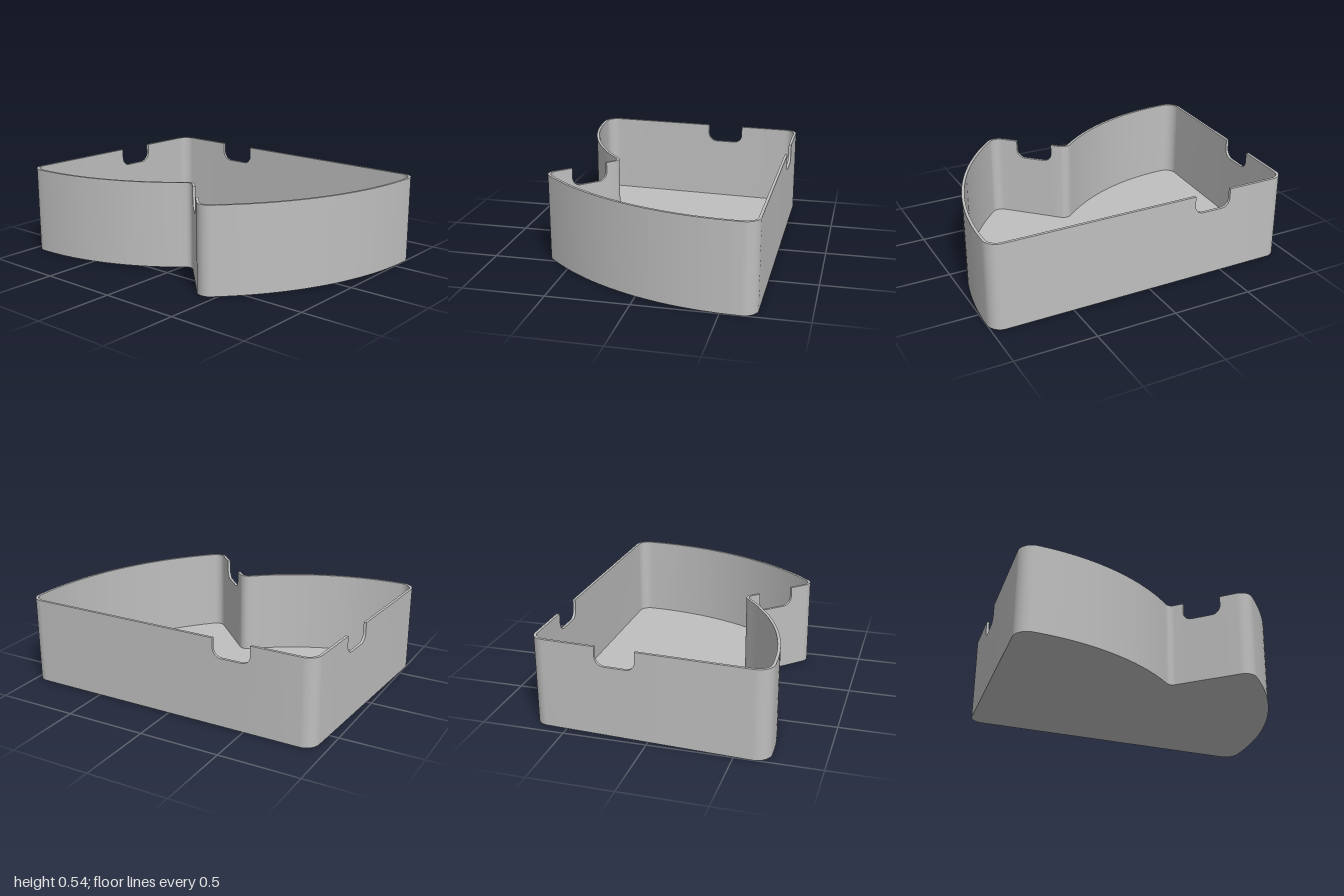
import * as THREE from 'three';
import { toCreasedNormals } from 'three/addons/utils/BufferGeometryUtils.js';

const HEIGHT = 0.54, WALL = 0.017, FLOOR = 0.02;
const NOTCH = { half: 0.12, depth: 0.115, radius: 0.055 };
// notch centres in plan (x, z): back wall, right wall, diagonal front wall
const NOTCH_CENTRES = [[-0.42, -0.705], [-0.956, -0.19], [0.202, 0.479]].map(p => new THREE.Vector2(...p));

// plan outline, drawn as (x, z)
function outlinePoints() {
  const p = new THREE.Path();
  p.moveTo(-0.85, -0.705);
  p.absarc(0.915, -0.62, 0.085, -Math.PI / 2, 0);                    // back corner
  p.absarc(1 - 1.763, -0.62, 1.763, 0, 0.796);                       // long curved side
  p.absarc(0.4175, 0.5865, 0.075, 0.796, Math.PI * 0.75);            // front tip
  p.absarc(0.048, 0.38, 0.04, -Math.PI / 4, 0.852 - Math.PI, true);  // inward corner
  p.absarc(-0.91, -0.715, 1.415, 0.852, Math.PI / 2);                // curved front
  p.absarc(-0.91, 0.61, 0.09, Math.PI / 2, Math.PI + 0.054);         // front corner
  p.absarc(-0.85, -0.62, 0.085, Math.PI + 0.054, Math.PI * 1.5);     // back corner
  const kept = [];
  for (const q of p.getPoints(16)) {
    if (!kept.length || (q.distanceTo(kept[kept.length - 1]) > 0.0025 && q.distanceTo(kept[0]) > 0.0025)) kept.push(q);
  }
  return kept;
}

const inward = (a, b) => new THREE.Vector2(a.y - b.y, b.x - a.x).normalize();

// U-shaped notch as [offset along wall, height]
function notchProfile() {
  const { half, depth, radius: r } = NOTCH, left = [[-half, HEIGHT]];
  for (let i = 0; i <= 8; i++) {
    const a = (i / 8) * Math.PI / 2;
    left.push([-half + r * (1 - Math.cos(a)), HEIGHT - depth + r * (1 - Math.sin(a))]);
  }
  return [...left, ...left.slice().reverse().map(([s, h]) => [-s, h])];
}

// stations round the wall: outer point, inner point, rim height
function wallStations(pts) {
  const out = [], n = pts.length;
  const add = (p, normal, h) => out.push({ o: p, i: p.clone().addScaledVector(normal, WALL), h });
  pts.forEach((p, k) => {
    const next = pts[(k + 1) % n], normal = inward(p, next);
    add(p, inward(pts[(k + n - 1) % n], p).add(normal).normalize(), HEIGHT);
    const length = p.distanceTo(next);
    if (length < 0.3) return;
    const dir = next.clone().sub(p).divideScalar(length);
    for (const c of NOTCH_CENTRES) {
      const rel = c.clone().sub(p), t = rel.dot(dir);
      if (Math.abs(rel.dot(normal)) > 0.03 || t < NOTCH.half || t > length - NOTCH.half) continue;
      for (const [s, h] of notchProfile()) add(p.clone().addScaledVector(dir, t + s), normal, h);
    }
  });
  return out;
}

function wallGeometry(stations) {
  const pos = [];
  const quad = (a, b, c, d) => pos.push(...a, ...b, ...c, ...a, ...c, ...d);
  const at = (p, y) => [p.x, y, p.y];
  stations.forEach((a, k) => {
    const b = stations[(k + 1) % stations.length];
    if (a.o.distanceTo(b.o) > 1e-6) {
      quad(at(a.o, 0), at(a.o, a.h), at(b.o, b.h), at(b.o, 0)); // outside
      quad(at(a.i, 0), at(b.i, 0), at(b.i, b.h), at(a.i, a.h)); // inside
      quad(at(a.o, 0), at(b.o, 0), at(b.i, 0), at(a.i, 0));     // underside
    }
    quad(at(a.o, a.h), at(a.i, a.h), at(b.i, b.h), at(b.o, b.h)); // rim and notch edges
  });
  const g = new THREE.BufferGeometry();
  g.setAttribute('position', new THREE.Float32BufferAttribute(pos, 3));
  return toCreasedNormals(g, 0.5);
}

export function createModel() {
  const model = new THREE.Group();
  model.name = 'tray';
  const grey = new THREE.MeshStandardMaterial({ color: 0xbfbfbf });
  grey.name = 'grey';

  const stations = wallStations(outlinePoints());
  const wall = new THREE.Mesh(wallGeometry(stations), grey);
  wall.name = 'wall';

  // floor fills the inside of the wall
  const inner = stations.filter(s => s.h === HEIGHT).map(s => s.i);
  const floorGeometry = new THREE.ExtrudeGeometry(new THREE.Shape(inner), { depth: FLOOR, bevelEnabled: false });
  floorGeometry.rotateX(Math.PI / 2).translate(0, FLOOR, 0);
  const floor = new THREE.Mesh(floorGeometry, grey);
  floor.name = 'floor';

  model.add(wall, floor);
  return model;
}
